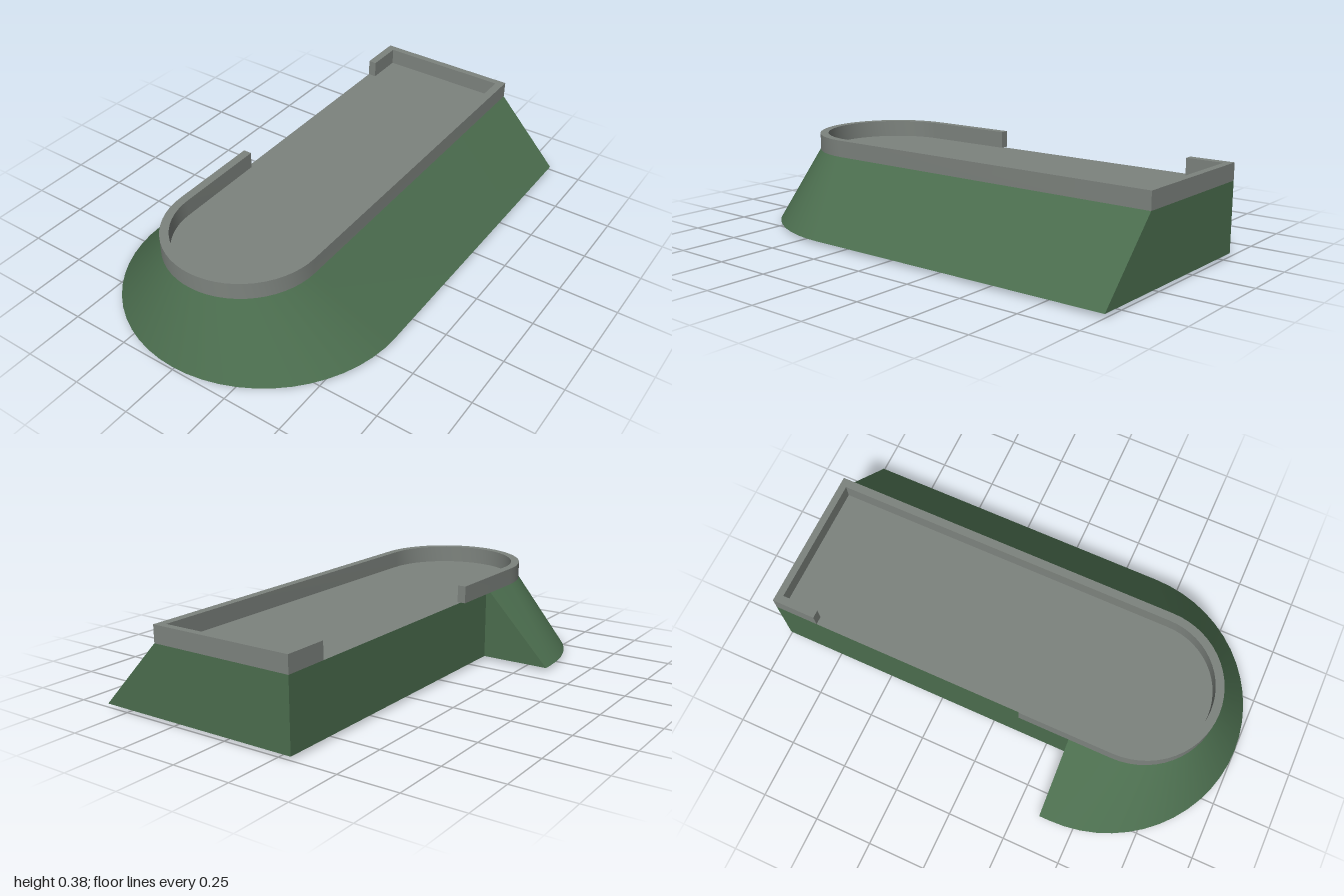
import * as THREE from 'three';
import { toCreasedNormals } from 'three/addons/utils/BufferGeometryUtils.js';

const DECK_Y = 0.308, RIM_TOP = 0.38;

// Half circle of [x, z] points running from +x round the front to -x
function frontArc(radius, centreZ, steps = 28) {
  return Array.from({ length: steps + 1 }, (_, i) => {
    const a = (Math.PI * i) / steps;
    return [radius * Math.cos(a), centreZ + radius * Math.sin(a)];
  });
}

// Closed footprint: straight left side, round front, stepped right side
function footprint(radius, centreZ, backZ, stepZ, rightX) {
  return [[radius, backZ], ...frontArc(radius, centreZ), [-radius, stepZ], [rightX, stepZ], [rightX, backZ]];
}

// Skin through matching closed loops
function loft(levels) {
  const pos = [];
  for (let k = 0; k < levels.length - 1; k++) {
    const lo = levels[k], hi = levels[k + 1], n = lo.pts.length;
    for (let i = 0; i < n; i++) {
      const j = (i + 1) % n;
      const p = (level, m) => [level.pts[m][0], level.y, level.pts[m][1]];
      const a = p(lo, i), b = p(lo, j), c = p(hi, j), d = p(hi, i);
      pos.push(...a, ...d, ...c, ...a, ...c, ...b);
    }
  }
  const g = new THREE.BufferGeometry();
  g.setAttribute('position', new THREE.Float32BufferAttribute(pos, 3));
  return toCreasedNormals(g, Math.PI / 6);
}

// Plan outline as a shape that lies flat after rotating -90 degrees about x
function planShape(pts) {
  return new THREE.Shape(pts.map(([x, z]) => new THREE.Vector2(x, -z)));
}

export function createModel() {
  // Thin open shell, so both colours show from either side
  const green = new THREE.MeshStandardMaterial({ color: 0x4b6d4e, side: THREE.DoubleSide });
  green.name = 'mossGreen';
  const grey = new THREE.MeshStandardMaterial({ color: 0x7d837e, side: THREE.DoubleSide });
  grey.name = 'stoneGrey';

  const group = new THREE.Group();
  group.name = 'hillPlatform';
  const add = (name, geometry, material) => {
    const mesh = new THREE.Mesh(geometry, material);
    mesh.name = name;
    group.add(mesh);
  };

  const flangeInner = footprint(0.49, 0.4, -0.7, 0.41, -0.24);
  const outerFoot = footprint(0.605, 0.395, -1, 0.35, -0.305);
  const deckEdge = footprint(0.326, 0.535, -1, 0.35, -0.305);

  // Sloping outer skin, open inside
  add('slopedSkin', loft([{ pts: outerFoot, y: 0.015 }, { pts: deckEdge, y: DECK_Y }]), green);

  // Flat flange turned inwards round the foot
  add('footFlange', loft([{ pts: flangeInner, y: 0 }, { pts: outerFoot, y: 0.015 }]), green);

  // Deck floor, which is also the ceiling of the hollow
  add('deck', new THREE.ShapeGeometry(planShape(deckEdge)).rotateX(-Math.PI / 2).translate(0, DECK_Y, 0), grey);

  // Low rim with an opening on the right side
  const rim = [
    [-0.305, -0.81], [-0.305, -1], [0.326, -1], ...frontArc(0.326, 0.535), [-0.326, 0.13],
    [-0.29, 0.13], ...frontArc(0.29, 0.535).reverse(), [0.29, -0.97], [-0.27, -0.97], [-0.27, -0.81],
  ];
  const rimGeometry = new THREE.ExtrudeGeometry(planShape(rim), { depth: RIM_TOP - DECK_Y, bevelEnabled: false })
    .rotateX(-Math.PI / 2).translate(0, DECK_Y, 0);
  add('rim', toCreasedNormals(rimGeometry, Math.PI / 6), grey);

  return group;
}
